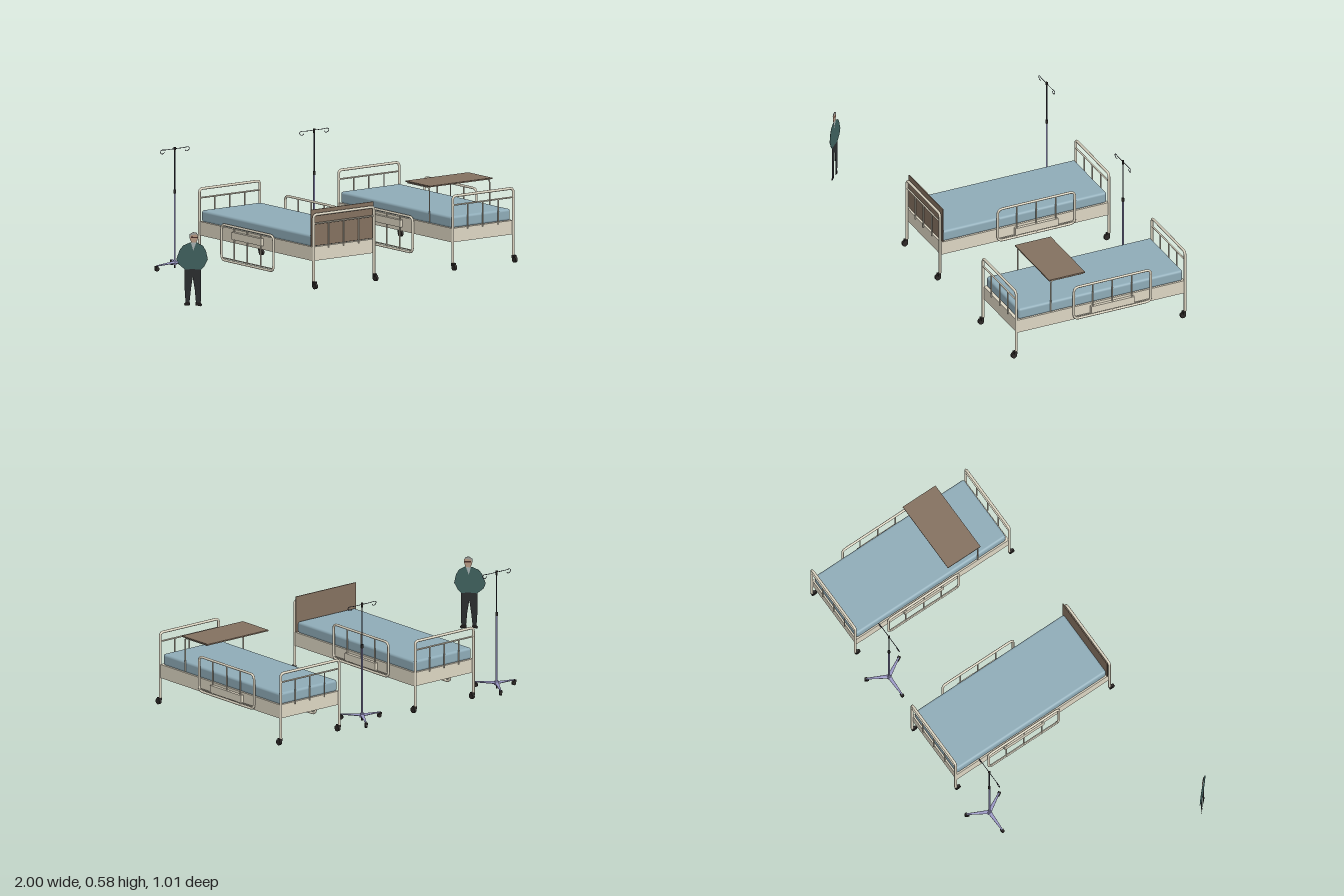
import * as THREE from 'three';
import { RoundedBoxGeometry } from 'three/addons/geometries/RoundedBoxGeometry.js';

const mat = (color, side = THREE.FrontSide) => new THREE.MeshStandardMaterial({ color, side });
const cream = mat(0xdcd5c2), blue = mat(0x8eabb7), brown = mat(0x83705f), dark = mat(0x2c2826);
const steel = mat(0x3a3a46), lavender = mat(0x9a98c4);
const V = (x, y, z) => new THREE.Vector3(x, y, z);

function add(parent, name, geometry, material, x = 0, y = 0, z = 0) {
  const m = new THREE.Mesh(geometry, material);
  m.name = name;
  m.position.set(x, y, z);
  parent.add(m);
  return m;
}

function group(parent, name, x = 0, y = 0, z = 0) {
  const g = new THREE.Group();
  g.name = name;
  g.position.set(x, y, z);
  parent.add(g);
  return g;
}

// Straight round bar between two points
function bar(parent, name, a, b, r, material, r2 = r) {
  const d = b.clone().sub(a);
  const m = add(parent, name, new THREE.CylinderGeometry(r2, r, d.length(), 12), material);
  m.position.copy(a).add(b).multiplyScalar(0.5);
  m.quaternion.setFromUnitVectors(V(0, 1, 0), d.normalize());
  return m;
}

// Bent tube through corner points, each corner rounded by radius c
function bentTube(parent, name, pts, c, r, material, closed = false) {
  const path = new THREE.CurvePath();
  const n = pts.length;
  const toward = (a, b) => a.clone().add(b.clone().sub(a).normalize().multiplyScalar(c));
  let pen = closed ? toward(pts[0], pts[1]) : pts[0];
  for (let i = 1; i < (closed ? n + 1 : n - 1); i++) {
    const p = pts[i % n], start = toward(p, pts[(i - 1) % n]), end = toward(p, pts[(i + 1) % n]);
    path.add(new THREE.LineCurve3(pen, start));
    path.add(new THREE.QuadraticBezierCurve3(start, p, end));
    pen = end;
  }
  if (!closed) path.add(new THREE.LineCurve3(pen, pts[n - 1]));
  return add(parent, name, new THREE.TubeGeometry(path, 120, r, 10, closed), material);
}

function caster(parent, x, z, r, width) {
  const g = group(parent, 'caster', x, r, z);
  add(g, 'wheel', new THREE.CylinderGeometry(r, r, width, 18).rotateZ(Math.PI / 2), dark);
  add(g, 'casterFork', new THREE.BoxGeometry(width * 1.5, r * 0.9, r), dark, 0, r * 0.9, -r * 0.4);
}

// Tubular end of the bed with its inner bars
function endFrame(bed, name, z) {
  const g = group(bed, name, 0, 0, z);
  const w = 0.18;
  bentTube(g, 'endTube', [V(-w, 0.035, 0), V(-w, 0.355, 0), V(w, 0.355, 0), V(w, 0.035, 0)], 0.018, 0.0065, cream);
  bar(g, 'crossBar', V(-w, 0.312, 0), V(w, 0.312, 0), 0.004, cream);
  for (const x of [-0.09, 0, 0.09]) bar(g, 'endBar', V(x, 0.19, 0), V(x, 0.312, 0), 0.0035, cream);
  for (const s of [-1, 1]) caster(g, s * w, 0.012, 0.015, 0.012);
}

// Guard rail in the plane of the bed side, y is its lower edge
function sideRail(bed, side, y) {
  const g = group(bed, side > 0 ? 'leftRaisedRail' : 'rightLoweredRail', side * 0.19, y, -0.075);
  const h = 0.17, w = 0.202;
  bentTube(g, 'railLoop', [V(0, 0, -w), V(0, h, -w), V(0, h, w), V(0, 0, w)], 0.026, 0.006, cream, true);
  bar(g, 'railCrossBar', V(0, 0.011, -w), V(0, 0.011, w), 0.003, cream);
  for (const z of [-0.102, 0, 0.102]) bar(g, 'railBar', V(0, 0, z), V(0, h, z), 0.0035, cream);
}

function buildBed(parent, x) {
  const bed = group(parent, 'bed', x);
  add(bed, 'bedBase', new THREE.BoxGeometry(0.364, 0.067, 0.88), cream, 0, 0.1665, -0.018);
  add(bed, 'mattress', new RoundedBoxGeometry(0.354, 0.056, 0.862, 4, 0.012), blue, 0, 0.226, -0.021);
  endFrame(bed, 'frontEnd', 0.425);
  endFrame(bed, 'backEnd', -0.461);
  sideRail(bed, 1, 0.139);
  sideRail(bed, -1, 0.043);
  for (const s of [-1, 1]) // mounting plates for the rails
    add(bed, 'railMount', new THREE.BoxGeometry(0.016, 0.035, 0.226), cream, s * 0.189, 0.17, -0.075);
  return bed;
}

function overbedTable(bed) {
  const g = group(bed, 'overbedTable');
  add(g, 'tableTop', new THREE.BoxGeometry(0.374, 0.006, 0.188), brown, 0, 0.377, 0.161);
  for (const s of [-1, 1])
    bentTube(g, 'tableLeg', [V(s * 0.179, 0.205, 0.243), V(s * 0.179, 0.371, 0.243), V(s * 0.179, 0.371, 0.075)],
      0.018, 0.0035, cream);
}

function dripStand(parent, x, z) {
  const g = group(parent, 'dripStand', x, 0, z);
  // Three tapering feet on casters
  for (let i = 0; i < 3; i++) {
    const foot = group(g, 'standFoot');
    foot.rotation.y = Math.PI / 2 + i * Math.PI * 2 / 3;
    const leg = new THREE.CylinderGeometry(0.004, 0.01, 0.108, 10).rotateX(-Math.PI / 2);
    leg.scale(1, 0.7, 1);
    const m = add(foot, 'footArm', leg, lavender, 0, 0.029, -0.053);
    m.rotation.x = -0.06;
    caster(foot, 0, -0.106, 0.011, 0.01);
  }
  add(g, 'hub', new THREE.CylinderGeometry(0.009, 0.012, 0.02, 16), lavender, 0, 0.032, 0);
  add(g, 'hubPin', new THREE.CylinderGeometry(0.004, 0.004, 0.02, 10), dark, 0, 0.015, 0);
  bar(g, 'lowerPole', V(0, 0.03, 0), V(0, 0.37, 0), 0.0045, lavender);
  bar(g, 'collar', V(0, 0.362, 0), V(0, 0.38, 0), 0.0065, dark);
  bar(g, 'upperPole', V(0, 0.375, 0), V(0, 0.57, 0), 0.003, steel);
  bar(g, 'topCap', V(0, 0.562, 0), V(0, 0.584, 0), 0.004, dark, 0.006);
  // Arms whose ends curl down and back into hooks
  for (const s of [-1, 1]) {
    const pts = [[0, 0.577], [0.055, 0.577], [0.08, 0.578], [0.087, 0.572], [0.08, 0.561], [0.068, 0.56], [0.061, 0.567]];
    const curve = new THREE.CatmullRomCurve3(pts.map(([px, py]) => V(s * px, py, 0)));
    add(g, 'hookArm', new THREE.TubeGeometry(curve, 40, 0.0016, 6), steel);
  }
}

// Flat standing figure made of thin coloured silhouettes
function standingFigure(parent) {
  const g = group(parent, 'standingFigure', -0.9465, 0, 0.4465);
  g.rotation.y = -Math.PI / 4;
  g.scale.x = Math.SQRT2;
  const patch = (name, color, pts, layer, smooth = false) => {
    const v = pts.map(([px, py]) => new THREE.Vector2(px, py));
    const shape = new THREE.Shape();
    if (smooth) shape.setFromPoints(new THREE.CatmullRomCurve3(v.map(p => V(p.x, p.y, 0)), true).getPoints(32));
    else shape.setFromPoints(v);
    const t = 0.0006 + layer * 0.0006;
    const geo = new THREE.ExtrudeGeometry(shape, { depth: t, bevelEnabled: false });
    add(g, name, geo, mat(color), 0, 0, -t / 2);
  };
  patch('trousers', 0x2b2d2f, [[-0.026, 0.18], [-0.026, 0.1], [-0.022, 0.015], [-0.009, 0.015], [-0.004, 0.08],
    [0.002, 0.14], [0.009, 0.08], [0.013, 0.015], [0.029, 0.015], [0.03, 0.1], [0.03, 0.18]], 0);
  patch('rightShoe', 0x1f1c1b, [[-0.025, 0.002], [-0.027, 0.01], [-0.021, 0.019], [-0.008, 0.018], [-0.007, 0.004]], 1);
  patch('leftShoe', 0x1f1c1b, [[0.012, 0.004], [0.012, 0.019], [0.028, 0.019], [0.034, 0.008], [0.03, 0]], 1);
  patch('jacket', 0x40625f, [[-0.007, 0.305], [-0.03, 0.29], [-0.042, 0.268], [-0.053, 0.225], [-0.046, 0.2],
    [-0.032, 0.184], [-0.024, 0.175], [0.004, 0.178], [0.03, 0.175], [0.04, 0.19], [0.053, 0.225], [0.047, 0.265],
    [0.037, 0.29], [0.017, 0.305]], 1);
  patch('shirt', 0xa9b4b4, [[-0.004, 0.305], [0.004, 0.266], [0.014, 0.305]], 2);
  patch('head', 0xb99a84, [[-0.006, 0.34], [-0.007, 0.322], [0, 0.303], [0.01, 0.3], [0.018, 0.318], [0.019, 0.34],
    [0.006, 0.353]], 2, true);
  patch('hair', 0xa3a29e, [[-0.008, 0.325], [-0.008, 0.345], [0.003, 0.355], [0.014, 0.353], [0.02, 0.341],
    [0.012, 0.344], [-0.003, 0.341]], 3);
  patch('glasses', 0x4a2f2b, [[-0.003, 0.327], [-0.003, 0.333], [0.018, 0.333], [0.018, 0.327]], 3);
}

export function createModel() {
  const model = new THREE.Group();
  model.name = 'hospitalWard';
  const bedWithBoard = buildBed(model, -0.027);
  add(bedWithBoard, 'headboardPanel', new THREE.BoxGeometry(0.37, 0.175, 0.005), brown, 0, 0.29, 0.411);
  overbedTable(buildBed(model, 0.802));
  dripStand(model, -0.4, -0.401);
  dripStand(model, 0.43, -0.401);
  standingFigure(model);
  return model;
}
